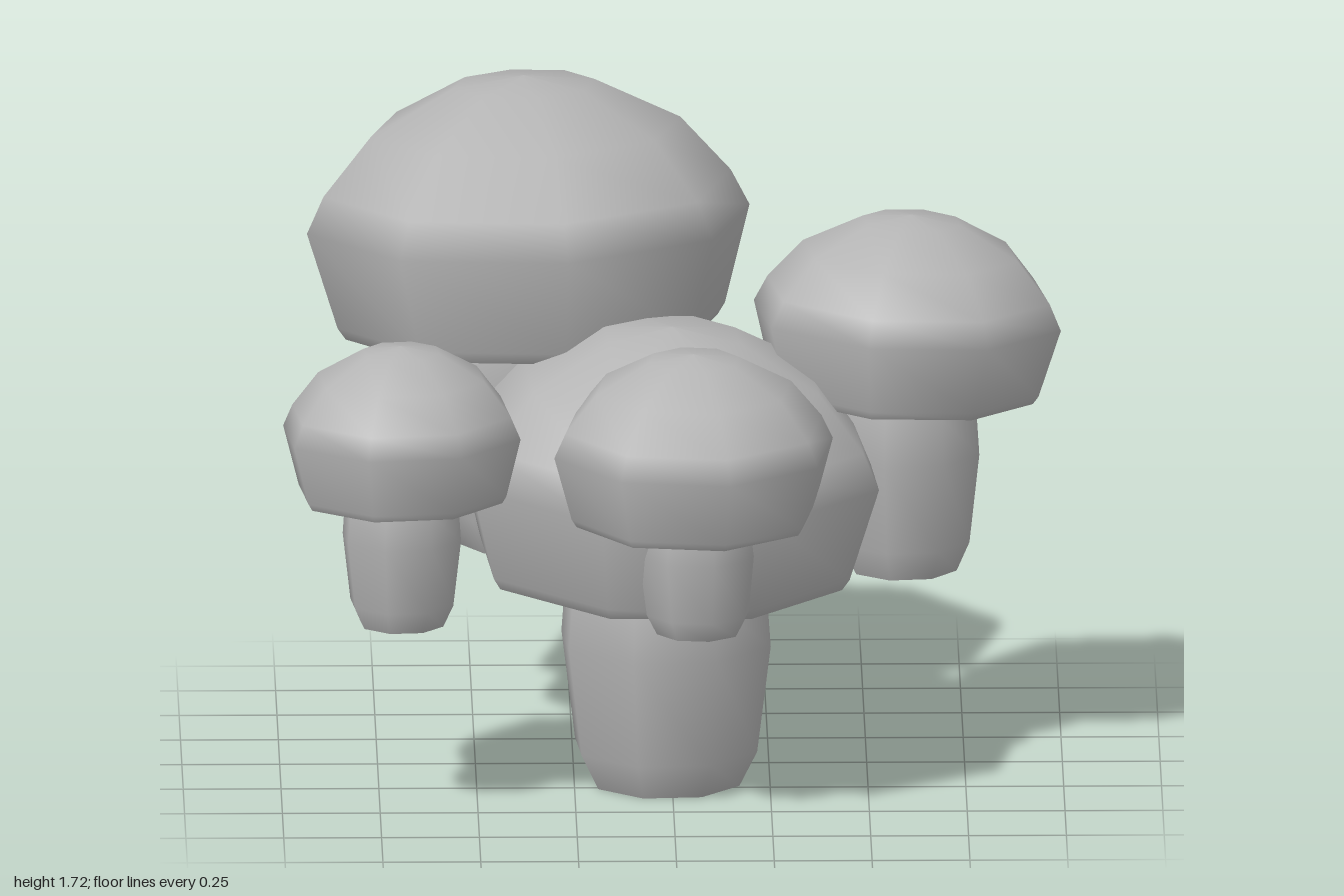
import * as THREE from 'three';

const grey = new THREE.MeshStandardMaterial({ color: 0xb4b4b4 });
grey.name = 'grey';

// Eight-sided lathe, scaled by radius and height, with a corner at angle (degrees from +x towards +z)
function turned(name, profile, radius, height, angle) {
  const points = profile.map(([r, y]) => new THREE.Vector2(r * radius, y * height));
  const start = THREE.MathUtils.degToRad(90 - angle);
  const mesh = new THREE.Mesh(new THREE.LatheGeometry(points, 8, start), grey);
  mesh.name = name;
  return mesh;
}

// Profiles run from the underside outwards and up; heights are relative
const DOME = [[0.84, -0.75], [0.875, -0.67], [1, 0], [0.92, 0.25], [0.7, 0.64], [0.32, 0.94], [0, 1]];
const GILLS = [[0, -0.45], [0.5, -0.5], [0.64, -0.72], [0.66, -0.75], [0.84, -0.75]];
const STEM = [[0.7, 0], [0.87, 0.14], [1, 0.56], [0.96, 0.78], [0.82, 1]];
const FOOT = [[0, 0], [0.7, 0]];

function mushroom({ name, cap, capRadius, capHeight, angle, tilt, stem, stemRadius }) {
  const group = new THREE.Group();
  group.name = name;

  const capGroup = new THREE.Group();
  capGroup.name = 'cap';
  capGroup.add(turned('capDome', DOME, capRadius, capHeight, angle));
  capGroup.add(turned('capUnderside', GILLS, capRadius, capHeight, angle));
  capGroup.position.set(...cap);
  capGroup.rotation.set(tilt[0], 0, tilt[1]);

  // The stem ends inside the cap
  const height = cap[1] - 0.42 * capHeight - stem[1];
  const stemGroup = new THREE.Group();
  stemGroup.name = 'stem';
  stemGroup.add(turned('stemSide', STEM, stemRadius, height, angle));
  stemGroup.add(turned('stemFoot', FOOT, stemRadius, height, angle));
  stemGroup.position.set(...stem);

  group.add(capGroup, stemGroup);
  return group;
}

export function createModel() {
  const model = new THREE.Group();
  model.name = 'mushroomCluster';
  const mushrooms = [
    { name: 'mainMushroom', cap: [-0.01, 0.825, 0.15], capRadius: 0.565, capHeight: 0.37, angle: 18,
      tilt: [0.04, -0.03], stem: [-0.015, 0, 0.175], stemRadius: 0.28 },
    { name: 'backMushroom', cap: [-0.36, 1.345, -0.355], capRadius: 0.575, capHeight: 0.376, angle: -9.5,
      tilt: [-0.045, 0.03], stem: [-0.36, 0.505, -0.355], stemRadius: 0.285 },
    { name: 'leftMushroom', cap: [0.605, 1.16, -0.075], capRadius: 0.405, capHeight: 0.265, angle: 15,
      tilt: [-0.02, -0.045], stem: [0.595, 0.495, -0.075], stemRadius: 0.2 },
    { name: 'rightMushroom', cap: [-0.695, 1.01, 0.52], capRadius: 0.315, capHeight: 0.228, angle: 16.4,
      tilt: [0, 0.01], stem: [-0.695, 0.505, 0.52], stemRadius: 0.157 },
    { name: 'frontMushroom', cap: [0.05, 0.975, 0.555], capRadius: 0.368, capHeight: 0.25, angle: -14,
      tilt: [0.03, 0], stem: [0.062, 0.5, 0.59], stemRadius: 0.157 },
  ];
  for (const spec of mushrooms) model.add(mushroom(spec));
  return model;
}
